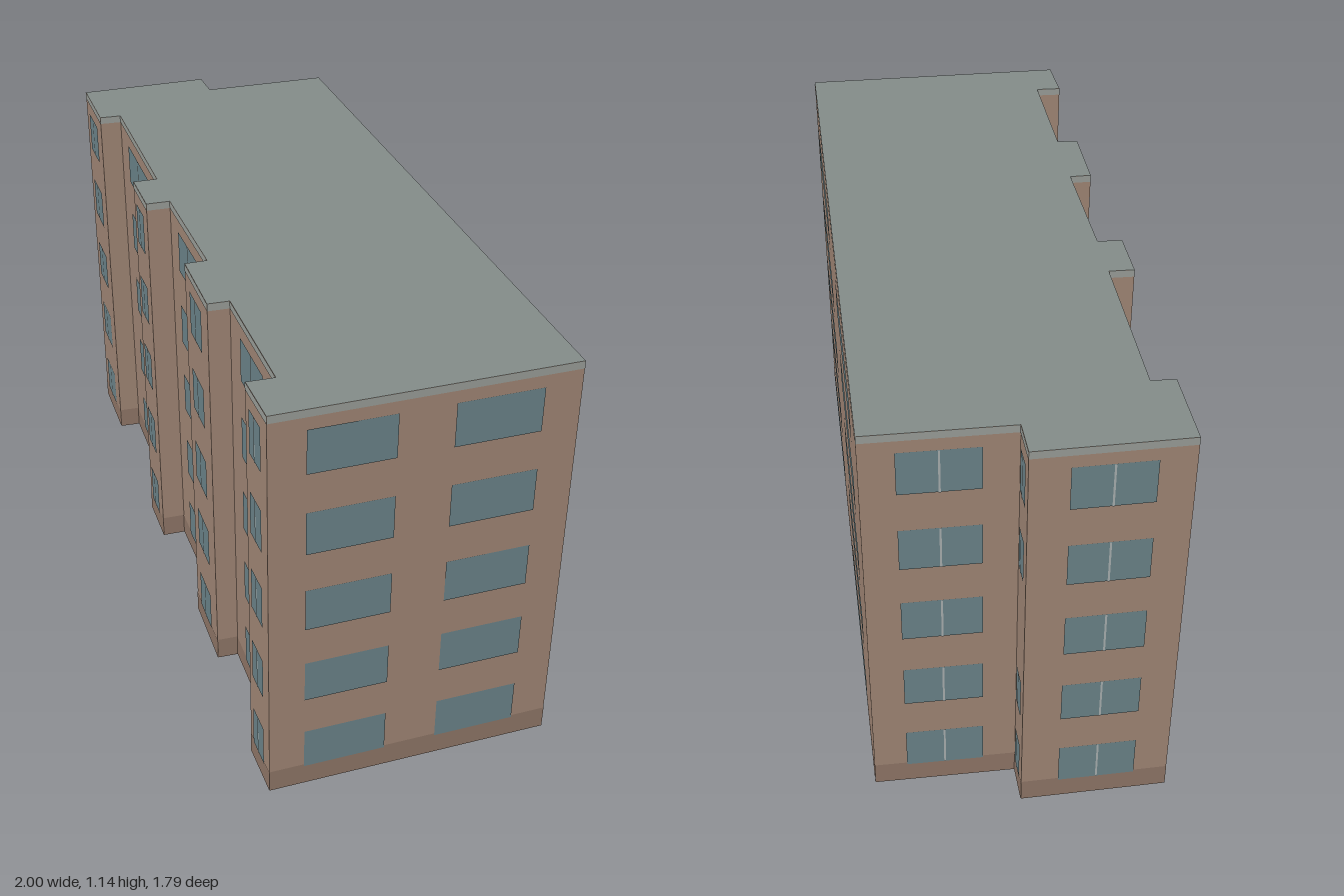
import * as THREE from 'three';

// footprint corners as (x, z), starting at the rear corner
const plan = [
  [-0.437, -0.895], [1, 0.315], [0.508, 0.895], [0.392, 0.802], [0.44, 0.75], [0.157, 0.512],
  [0.118, 0.554], [-0.05, 0.41], [-0.012, 0.365], [-0.298, 0.13], [-0.342, 0.179], [-0.46, 0.08],
  [-0.415, 0.03], [-0.787, -0.288], [-0.83, -0.243], [-1, -0.387], [-0.755, -0.68], [-0.678, -0.617],
];

// windows per wall: start and end as a fraction of the wall, with or without a centre bar
const windows = [
  { wall: 0, spans: [[0.107, 0.41], [0.591, 0.892]] },
  { wall: 1, spans: [[0.125, 0.412], [0.595, 0.88]] },
  { wall: 2, spans: [[0.25, 0.8]], bar: true },
  { wall: 4, spans: [[0.25, 0.75]], bar: true },
  { wall: 6, spans: [[0.25, 0.76]], bar: true },
  { wall: 8, spans: [[0.24, 0.76]], bar: true },
  { wall: 10, spans: [[0.23, 0.78]], bar: true },
  { wall: 12, spans: [[0.23, 0.77]], bar: true },
  { wall: 14, spans: [[0.235, 0.765]], bar: true },
  { wall: 15, spans: [[0.23, 0.75]], bar: true },
  { wall: 16, spans: [[0.2, 0.82]], bar: true, skipFloor: 2 },
  { wall: 17, spans: [[0.23, 0.77]], bar: true },
];
const FLOORS = 5, FIRST = 0.12, STOREY = 0.227, WINDOW_HEIGHT = 0.12, HEIGHT = 1.14;

const paint = (color, side = THREE.FrontSide) => new THREE.MeshStandardMaterial({ color, side });

// flat upright panel on a wall, facing outward; returns the wall length
function panel(name, parent, wall, at, y, width, height, lift, material) {
  const [ax, az] = plan[wall], [bx, bz] = plan[(wall + 1) % plan.length];
  const length = Math.hypot(bx - ax, bz - az);
  const nx = (bz - az) / length, nz = (ax - bx) / length;
  const mesh = new THREE.Mesh(new THREE.PlaneGeometry(width * length, height), material);
  mesh.position.set(ax + (bx - ax) * at + nx * lift, y, az + (bz - az) * at + nz * lift);
  mesh.rotation.y = Math.atan2(nx, nz);
  mesh.name = name;
  parent.add(mesh);
  return length;
}

export function createModel() {
  const building = new THREE.Group();
  building.name = 'apartmentBlock';

  // thin bands that follow the whole footprint; the shell is open underneath
  const band = (name, y0, y1, lift, material) => {
    const group = new THREE.Group();
    group.name = name;
    plan.forEach((_, wall) => panel(name + 'Panel', group, wall, 0.5, (y0 + y1) / 2, 1, y1 - y0, lift, material));
    building.add(group);
  };
  band('walls', 0, HEIGHT, 0, paint(0xa08675, THREE.DoubleSide));
  band('plinth', 0, 0.065, 0.001, paint(0x8f7667));
  band('fascia', 1.12, HEIGHT, 0.001, paint(0x9a9e99));

  // flat roof
  const shape = new THREE.Shape(plan.map(([x, z]) => new THREE.Vector2(x, -z)));
  const roof = new THREE.Mesh(new THREE.ShapeGeometry(shape), paint(0x838b88, THREE.DoubleSide));
  roof.rotation.x = -Math.PI / 2;
  roof.position.y = HEIGHT;
  roof.name = 'roof';
  building.add(roof);

  // rows of windows, one group per floor
  const glass = paint(0x6b8389), frame = paint(0xa9b0b0);
  for (let floor = 0; floor < FLOORS; floor++) {
    const row = new THREE.Group();
    row.name = 'windowRow' + (floor + 1);
    const y = FIRST + floor * STOREY;
    for (const { wall, spans, bar, skipFloor } of windows) {
      if (floor === skipFloor) continue;
      for (const [a, b] of spans) {
        const mid = (a + b) / 2;
        const length = panel('windowPane', row, wall, mid, y, b - a, WINDOW_HEIGHT, 0.0025, glass);
        if (bar) panel('windowBar', row, wall, mid, y, 0.005 / length, WINDOW_HEIGHT, 0.004, frame);
      }
    }
    building.add(row);
  }
  return building;
}
